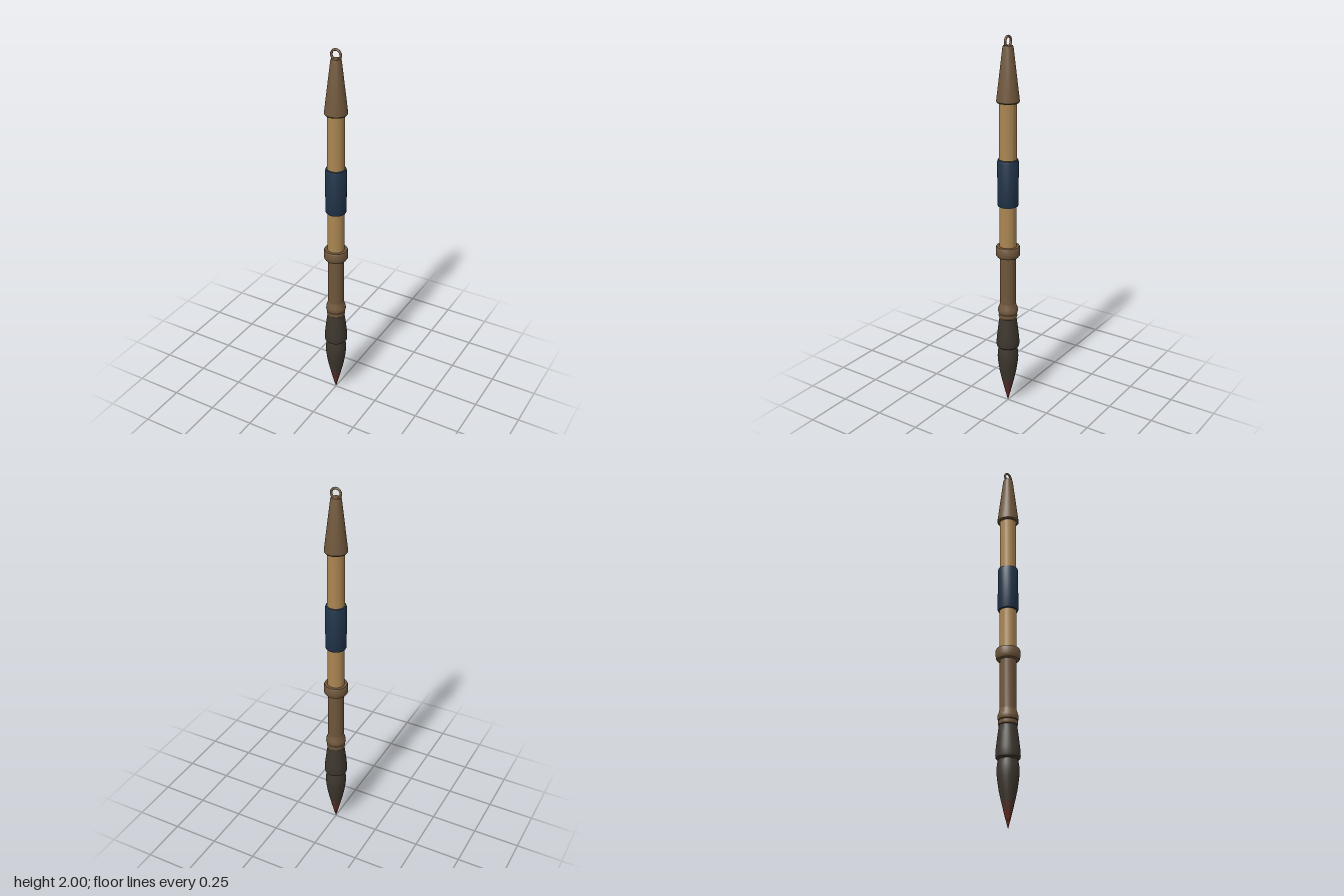
import * as THREE from 'three';
import { toCreasedNormals } from 'three/addons/utils/BufferGeometryUtils.js';

const paint = (name, color) => {
  const m = new THREE.MeshStandardMaterial({ color });
  m.name = name;
  return m;
};

export function createModel() {
  const wood = paint('brown wood', 0x6f563b);
  const bamboo = paint('tan bamboo', 0xaa8551);
  const navy = paint('navy wrap', 0x21344a);
  const hair = paint('dark bristle', 0x3c362d);
  const stain = paint('dull red stain', 0x50302a);
  const red = paint('red tip', 0x672a22);

  const group = new THREE.Group();
  group.name = 'paintbrush';

  // Turned part from [radius, height] pairs, bottom to top
  const turn = (name, material, profile) => {
    const points = profile.map(([r, y]) => new THREE.Vector2(r, y));
    const geometry = toCreasedNormals(new THREE.LatheGeometry(points, 32), 0.6);
    const mesh = new THREE.Mesh(geometry, material);
    mesh.name = name;
    group.add(mesh);
  };

  // Bristles, stained towards the point
  turn('bristleTip', red, [[0, 0], [0.012, 0.045], [0.022, 0.085]]);
  turn('bristleStain', stain, [[0.022, 0.085], [0.034, 0.135]]);
  turn('bristles', hair, [[0.034, 0.135], [0.045, 0.185], [0.053, 0.24], [0.056, 0.275],
    [0.054, 0.31], [0.047, 0.345], [0, 0.345]]);

  // Dark flared socket that holds the bristles
  turn('socket', hair, [[0, 0.335], [0.05, 0.335], [0.06, 0.343], [0.062, 0.355],
    [0.06, 0.39], [0.052, 0.46], [0.045, 0.51], [0, 0.51]]);

  // Lower handle with its two small rings and the upper collar
  turn('lowerHandle', wood, [[0, 0.5], [0.042, 0.5], [0.042, 0.88], [0, 0.88]]);
  turn('lowerRing', wood, [[0.042, 0.51], [0.048, 0.513], [0.05, 0.522], [0.048, 0.534], [0.042, 0.537]]);
  turn('upperRing', wood, [[0.042, 0.535], [0.05, 0.538], [0.053, 0.548], [0.052, 0.562],
    [0.047, 0.575], [0.042, 0.595]]);
  turn('collar', wood, [[0.042, 0.858], [0.056, 0.861], [0.062, 0.87], [0.063, 0.885],
    [0.063, 0.912], [0.059, 0.92], [0.042, 0.92]]);

  // Bamboo shaft and cloth wrap
  turn('shaft', bamboo, [[0, 0.88], [0.044, 0.88], [0.044, 1.7], [0, 1.7]]);
  turn('wrap', navy, [[0.043, 1.138], [0.051, 1.14], [0.054, 1.147], [0.054, 1.375],
    [0.051, 1.384], [0.043, 1.386]]);

  // Tapered end cap
  turn('endCap', wood, [[0, 1.674], [0.054, 1.674], [0.058, 1.68], [0.057, 1.69],
    [0.027, 1.94], [0.024, 1.95], [0, 1.95]]);

  // Hanging loop
  const loop = new THREE.Mesh(new THREE.TorusGeometry(0.025, 0.006, 12, 32), wood);
  loop.name = 'hangingLoop';
  loop.position.y = 1.969;
  group.add(loop);

  return group;
}
